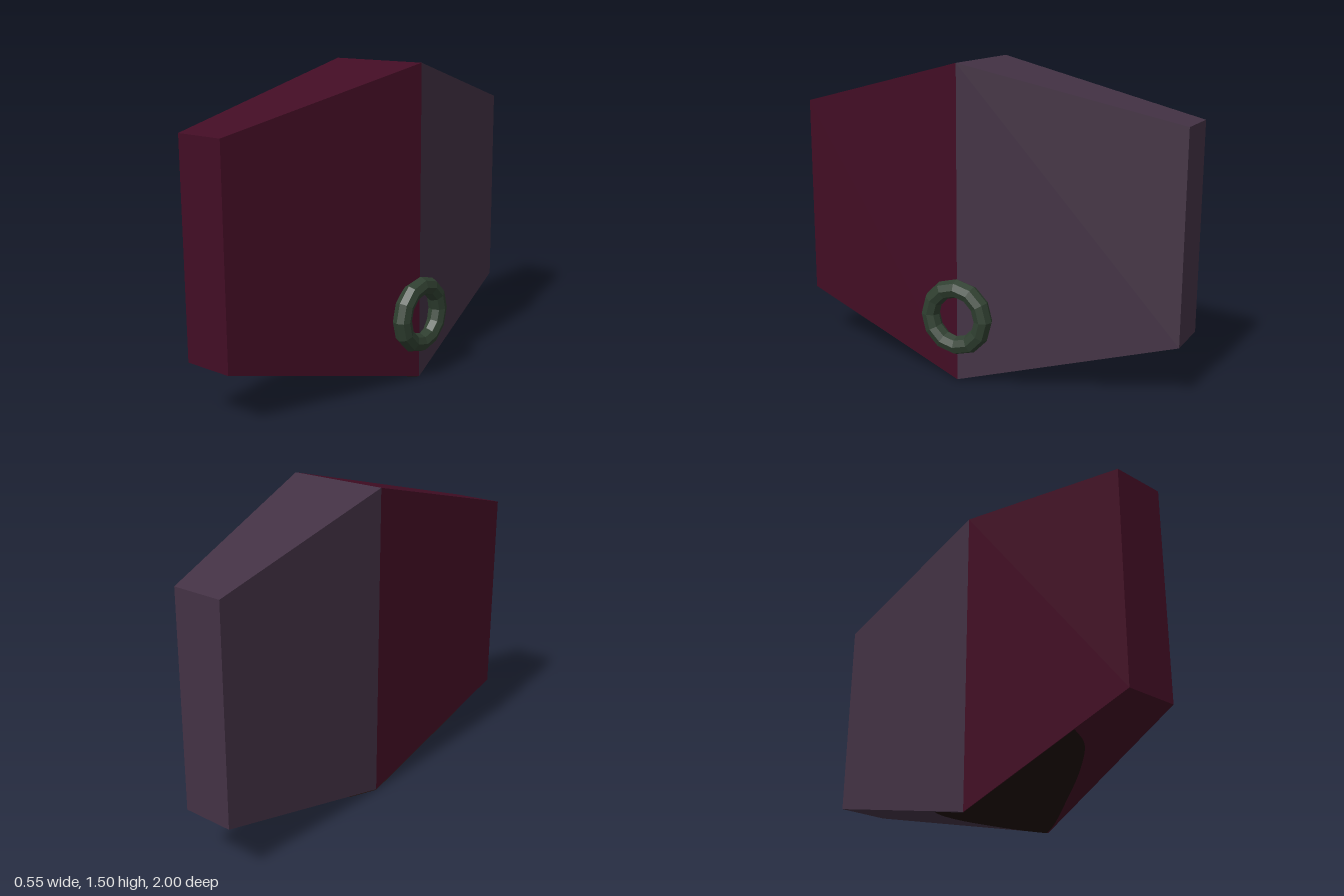
import * as THREE from 'three';

const paint = (name, color, side = THREE.FrontSide) => {
  const m = new THREE.MeshStandardMaterial({ color, side });
  m.name = name;
  return m;
};

// Builds a flat-faced mesh geometry from quads given as corner lists
function fromQuads(quads) {
  const pos = [];
  for (const [a, b, c, d] of quads) pos.push(...a, ...b, ...c, ...a, ...c, ...d);
  const g = new THREE.BufferGeometry();
  g.setAttribute('position', new THREE.Float32BufferAttribute(pos, 3));
  g.computeVertexNormals();
  return g;
}

// Half of the body: lofted from the tall middle section to the small end section
function halfBody(s) {
  const section = (xMax, yMin, yMax, z) =>
    [[-0.275, yMin, z], [xMax, yMin, z], [xMax, yMax, z], [-0.275, yMax, z]];
  const mid = section(0.225, 0, 1.5, 0);
  const end = section(-0.025, 0.25, 1.25, s);
  const quads = [end];
  for (let i = 0; i < 4; i++) {
    const j = (i + 1) % 4;
    quads.push([mid[i], mid[j], end[j], end[i]]);
  }
  return fromQuads(s > 0 ? quads : quads.map((q) => q.slice().reverse()));
}

// Dark patch lying just under one sloping underside face
function patch(points) {
  const shape = new THREE.Shape(points.map(([x, z]) => new THREE.Vector2(x, z)));
  const g = new THREE.ShapeGeometry(shape);
  const p = g.attributes.position;
  for (let i = 0; i < p.count; i++) {
    const x = p.getX(i), z = p.getY(i);
    p.setXYZ(i, x, 0.25 * Math.abs(z) - 0.003, z);
  }
  g.computeVertexNormals();
  return g;
}

// Smooth outline through a few points, closed along the inner edge and the crease
function outline(points) {
  const curve = new THREE.SplineCurve(points.map(([x, z]) => new THREE.Vector2(x, z)));
  return [...curve.getPoints(24).map((v) => [v.x, v.y]), [-0.275, 0]];
}

export function createModel() {
  const group = new THREE.Group();
  const maroon = paint('maroon', 0x420d24);
  const mauve = paint('greyMauve', 0x433244);
  const green = paint('darkGreen', 0x2f3f30);
  green.flatShading = true;
  const black = paint('brownBlack', 0x1e0e08, THREE.DoubleSide);

  const add = (name, geometry, material) => {
    const mesh = new THREE.Mesh(geometry, material);
    mesh.name = name;
    group.add(mesh);
    return mesh;
  };

  add('frontHalf', halfBody(1), maroon);
  add('backHalf', halfBody(-1), mauve);

  // Ring handle on the ridge
  const ring = add('ring', new THREE.TorusGeometry(0.14, 0.045, 8, 12), green);
  ring.rotation.y = Math.PI / 2;
  ring.position.set(0.23, 0.315, 0);

  // Dark patch across the underside crease
  add('undersidePatchFront', patch(outline([
    [-0.275, 0.7], [-0.15, 0.63], [-0.02, 0.46], [0.1, 0.25], [0.19, 0.08], [0.215, 0],
  ])), black);
  add('undersidePatchBack', patch(outline([
    [0.215, 0], [0.144, -0.14], [-0.013, -0.272], [-0.13, -0.29], [-0.229, -0.25], [-0.275, -0.2],
  ])), black);

  return group;
}
